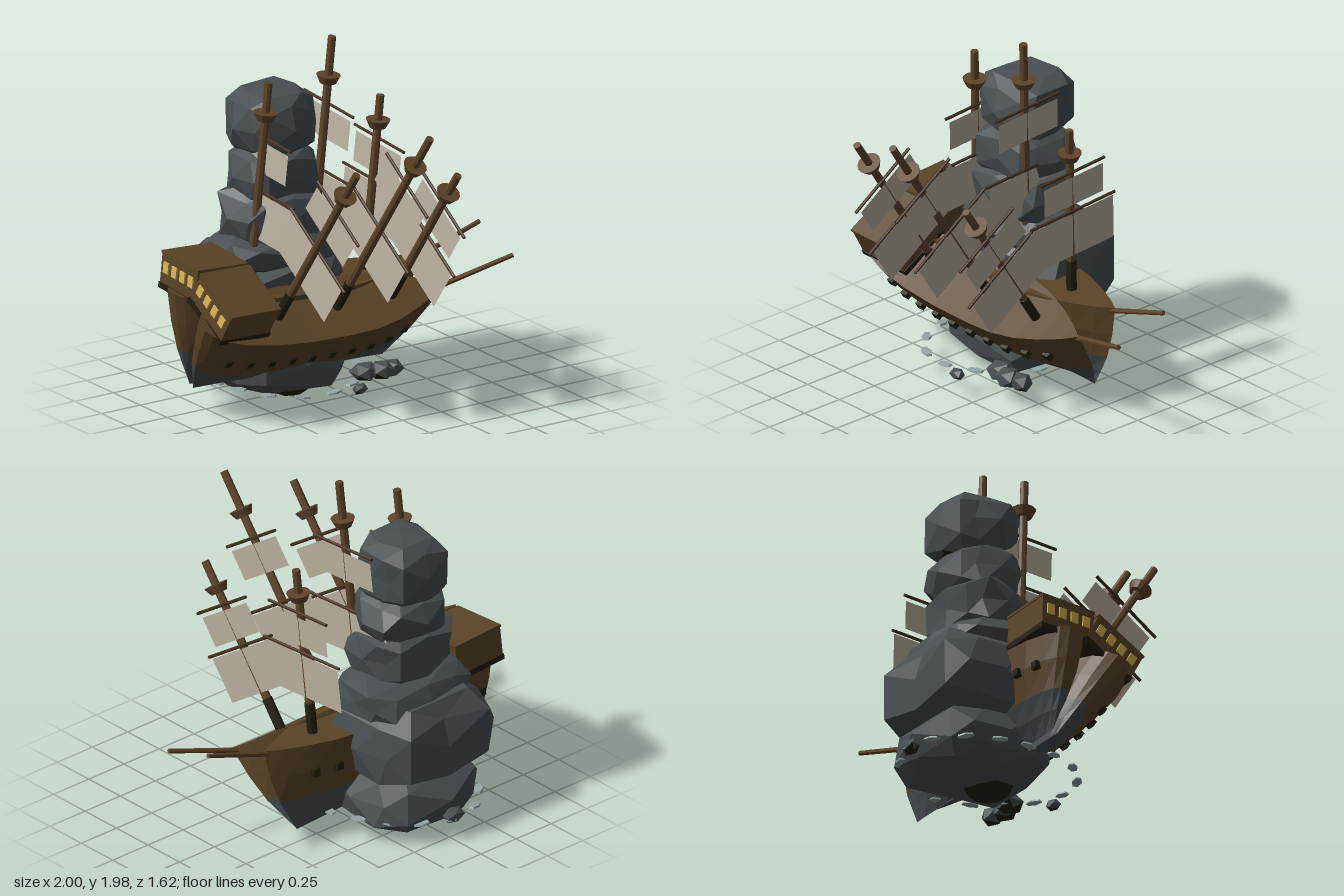
import * as THREE from 'three';

const mat = (name, color) => {
  const m = new THREE.MeshStandardMaterial({ color, flatShading: true });
  m.name = name;
  return m;
};

export function createModel() {
  const wood = mat('hullWood', 0x5b4427);
  const mastWood = mat('mastWood', 0x60442a);
  const yardWood = mat('darkYardWood', 0x46301e);
  const hullBottom = mat('hullBottom', 0x474c50);
  const rock = mat('rock', 0x494f52);
  const dark = mat('darkTrim', 0x211f10);
  const foam = mat('paleFlakes', 0x93a5a6);
  const gold = mat('windowGold', 0xddb754);
  const sailCloth = mat('sailCloth', 0xbcb2a0);
  sailCloth.side = THREE.DoubleSide;

  const add = (parent, name, geo, material, x = 0, y = 0, z = 0) => {
    const m = new THREE.Mesh(geo, material);
    m.name = name;
    m.position.set(x, y, z);
    parent.add(m);
    return m;
  };

  // Hull rule: s runs stern to bow, f runs keel to deck, side is +1 or -1
  const interp = (table, t) => {
    for (let i = 1; i < table.length; i++) {
      const [t0, v0] = table[i - 1], [t1, v1] = table[i];
      if (t <= t1) return v0 + (v1 - v0) * (t - t0) / (t1 - t0);
    }
    return table[table.length - 1][1];
  };
  const sternLine = [[0, -0.65], [0.38, -0.74], [0.68, -0.79], [1, -0.83]];
  const bowLine = [[0, 0.6], [0.38, 0.70], [0.68, 0.745], [1, 0.77]];
  const section = [[0, 0], [0.18, 0.36], [0.38, 0.63], [0.68, 0.88], [1, 1]];
  const plan = [[0, 0.03], [0.02, 0.075], [0.06, 0.12], [0.14, 0.16], [0.25, 0.185], [0.4, 0.198],
    [0.55, 0.198], [0.67, 0.19], [0.77, 0.16], [0.86, 0.11], [0.94, 0.055], [1, 0]];
  const deckHeight = (s) => 0.498 + 0.042 * (2 * s - 1) ** 2;
  const hullPoint = (s, f, side) => [
    THREE.MathUtils.lerp(interp(sternLine, f), interp(bowLine, f), s),
    f * deckHeight(s),
    side * interp(plan, s) * interp(section, f),
  ];

  const quadGeometry = (quads) => {
    const pos = [];
    for (const [a, b, c, d] of quads) pos.push(...a, ...b, ...c, ...a, ...c, ...d);
    const g = new THREE.BufferGeometry();
    g.setAttribute('position', new THREE.Float32BufferAttribute(pos, 3));
    g.computeVertexNormals();
    return g;
  };
  const hullSkin = (levels) => {
    const quads = [], P = hullPoint;
    for (let j = 1; j < levels.length; j++) {
      const f0 = levels[j - 1], f1 = levels[j];
      for (let i = 1; i < plan.length; i++) {
        const s0 = plan[i - 1][0], s1 = plan[i][0];
        quads.push([P(s0, f0, 1), P(s1, f0, 1), P(s1, f1, 1), P(s0, f1, 1)]);
        quads.push([P(s1, f0, -1), P(s0, f0, -1), P(s0, f1, -1), P(s1, f1, -1)]);
      }
      quads.push([P(0, f0, -1), P(0, f0, 1), P(0, f1, 1), P(0, f1, -1)]);
    }
    return quadGeometry(quads);
  };
  const deckSkin = () => quadGeometry(plan.slice(1).map(([s1], i) => {
    const s0 = plan[i][0];
    return [hullPoint(s0, 1, 1), hullPoint(s1, 1, 1), hullPoint(s1, 1, -1), hullPoint(s0, 1, -1)];
  }));

  // Mast with collar, lookout, two yards and two square sails
  const buildMast = (ship, { x, top, nest, upper, lower }) => {
    const g = new THREE.Group();
    g.name = 'mast';
    g.position.x = x;
    ship.add(g);
    add(g, 'mastPole', new THREE.CylinderGeometry(0.022, 0.025, top - 0.4, 8), mastWood, 0, (top + 0.4) / 2, 0);
    add(g, 'mastCollar', new THREE.CylinderGeometry(0.028, 0.028, 0.24, 8), dark, 0, 0.57, 0);
    add(g, 'lookout', new THREE.CylinderGeometry(0.066, 0.045, 0.045, 14), mastWood, 0, nest, 0);
    for (const [y, half, drop, gap] of [[upper, 0.21, 0.17, 0.03], [lower, 0.28, 0.255, 0.015]]) {
      const yard = add(g, 'yard', new THREE.CylinderGeometry(0.009, 0.009, half * 2 + 0.04, 6), yardWood, 0.02, y, 0);
      yard.rotation.x = Math.PI / 2;
      const sail = add(g, 'sail', new THREE.PlaneGeometry(half * 2, drop), sailCloth, 0.022, y - gap - drop / 2, -0.006);
      sail.rotation.y = Math.PI / 2;
    }
  };

  const buildShip = (name, { y, z, roll, pitch, cabinTilt }) => {
    const ship = new THREE.Group();
    ship.name = name;
    ship.position.set(-0.2, y, z);
    ship.rotation.set(roll, 0, -pitch);
    add(ship, 'lowerHull', hullSkin([0, 0.18, 0.38]), hullBottom);
    add(ship, 'upperHull', hullSkin([0.38, 0.68, 1]), wood);
    add(ship, 'deck', deckSkin(), wood);

    // Level row of gun ports on both sides
    for (let i = 0; i < 10; i++) {
      for (const side of [1, -1]) {
        const u = -0.65 + 0.13 * i;
        const s = (u - interp(sternLine, 0.67)) / (interp(bowLine, 0.67) - interp(sternLine, 0.67));
        const [px, py, pz] = hullPoint(s, 0.345 / deckHeight(s), side);
        add(ship, 'gunPort', new THREE.BoxGeometry(0.042, 0.042, 0.045), dark, px, py, pz);
      }
    }

    // Stern cabin with a row of rear windows
    const cabin = new THREE.Group();
    cabin.name = 'sternCabin';
    cabin.position.set(-0.617, 0, -0.012);
    cabin.rotation.x = cabinTilt;
    ship.add(cabin);
    add(cabin, 'cabinWalls', new THREE.BoxGeometry(0.32, 0.2, 0.33), wood, 0, 0.605, 0);
    add(cabin, 'cabinRoof', new THREE.BoxGeometry(0.326, 0.015, 0.34), wood, 0, 0.705, 0);
    add(cabin, 'cabinPlinth', new THREE.BoxGeometry(0.33, 0.032, 0.34), dark, 0, 0.52, 0);
    for (let i = 0; i < 4; i++) {
      add(cabin, 'cabinWindow', new THREE.BoxGeometry(0.0095, 0.06, 0.045), gold, -0.1645, 0.63, -0.114 + 0.076 * i);
    }

    buildMast(ship, { x: -0.315, top: 1.66, nest: 1.47, upper: 1.34, lower: 1.04 });
    buildMast(ship, { x: 0.074, top: 1.87, nest: 1.63, upper: 1.485, lower: 1.11 });
    buildMast(ship, { x: 0.427, top: 1.49, nest: 1.33, upper: 1.24, lower: 1.0 });

    const sprit = add(ship, 'bowsprit', new THREE.CylinderGeometry(0.013, 0.015, 0.47, 7), mastWood, 0.935, 0.59, 0);
    sprit.rotation.z = -(Math.PI / 2 - 0.375);
    return ship;
  };

  // Boulder: squared-off icosahedron roughened by a hash of the vertex position;
  // faces whose normal points below darkBelow take the dark material
  const boulder = (parent, name, [x, y, z], [rx, ry, rz], { seed, detail = 1, taper = 0, darkBelow = -2 }) => {
    const g = new THREE.IcosahedronGeometry(1, detail);
    const p = g.attributes.position;
    const v = new THREE.Vector3();
    const square = (a) => Math.sign(a) * Math.abs(a) ** 0.68;
    for (let i = 0; i < p.count; i++) {
      v.fromBufferAttribute(p, i);
      const h = Math.sin(Math.round(v.x * 50) * 12.99 + Math.round(v.y * 50) * 78.23 + Math.round(v.z * 50) * 37.72 + seed * 9.1) * 43758.5;
      const r = 0.86 + 0.22 * (h - Math.floor(h));
      const k = r * (1 - taper * v.y);
      p.setXYZ(i, square(v.x) * k * rx, THREE.MathUtils.clamp(square(v.y) * r, -1, 1) * ry, square(v.z) * k * rz);
    }
    g.computeVertexNormals();
    for (let i = 0; i < p.count; i += 3) g.addGroup(i, 3, g.attributes.normal.getY(i) < darkBelow ? 1 : 0);
    return add(parent, name, g, [rock, dark], x, y, z);
  };

  const model = new THREE.Group();
  model.name = 'shipsOnRock';
  model.add(
    buildShip('uprightShip', { y: 0.12, z: -0.26, roll: 0.07, pitch: 0.057, cabinTilt: 0 }),
    buildShip('heeledShip', { y: 0.115, z: -0.245, roll: 0.593, pitch: 0.052, cabinTilt: -0.07 }),
  );

  // Rock stack from bottom to top
  const stack = new THREE.Group();
  stack.name = 'rockStack';
  model.add(stack);
  add(stack, 'rockFoot', new THREE.CylinderGeometry(0.14, 0.08, 0.05, 7), dark, -0.22, 0.025, -0.24);
  [
    [[-0.26, 0.22, -0.36], [0.39, 0.19, 0.37], { taper: 0.12 }],
    [[-0.26, 0.54, -0.43], [0.42, 0.27, 0.34], {}],
    [[-0.23, 0.79, -0.38], [0.375, 0.13, 0.27], { darkBelow: -0.85 }],
    [[-0.27, 1.0, -0.34], [0.29, 0.18, 0.23], { darkBelow: -0.85 }],
    [[-0.245, 1.22, -0.35], [0.25, 0.17, 0.22], { darkBelow: -0.85 }],
    [[-0.255, 1.49, -0.355], [0.24, 0.21, 0.22], { darkBelow: -0.85 }],
  ].forEach(([c, r, options], i) => boulder(stack, 'rockLayer', c, r, { seed: i + 2, ...options }));

  // Loose rocks around the foot
  [
    [[0.04, 0.15, 0.08], [0.07, 0.05, 0.07]],
    [[0.13, 0.15, 0.11], [0.07, 0.055, 0.07]],
    [[0.21, 0.14, 0.09], [0.06, 0.05, 0.06]],
    [[-0.11, 0.13, 0.26], [0.04, 0.03, 0.035]],
    [[-0.26, 0.14, -0.77], [0.06, 0.04, 0.04]],
  ].forEach(([c, r], i) => boulder(model, 'looseRock', c, r, { seed: i + 20, detail: 0, darkBelow: -0.7 }));

  // Ring of thin pale flakes
  for (let i = 0; i < 16; i++) {
    const a = i / 16 * Math.PI * 2, k = 0.97 + 0.07 * Math.sin(i * 5.3);
    const flake = add(model, 'flake', new THREE.CylinderGeometry(0.045, 0.05, 0.01, 6), foam,
      -0.25 + Math.cos(a) * 0.45 * k, 0.128, -0.28 + Math.sin(a) * 0.49 * k);
    flake.scale.set(1, 1, 0.55);
    flake.rotation.y = -a + Math.PI / 2;
    flake.rotation.z = 0.12 * Math.sin(i * 2.1);
  }
  return model;
}
